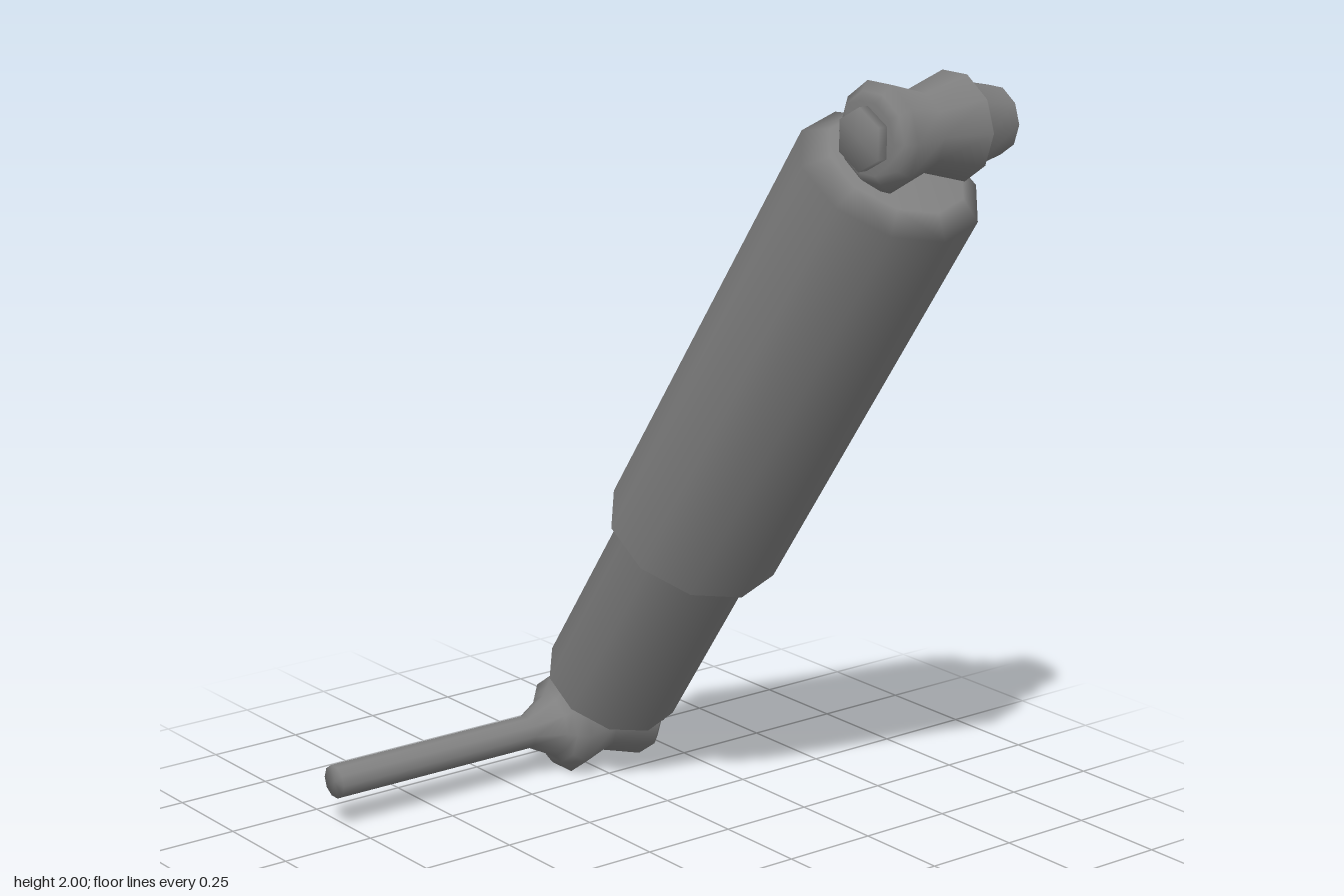
import * as THREE from 'three';

const MID_Z = -0.285;
const LOWER = [-0.615, 0.127];
const UPPER = [0.61, 1.878];

const material = new THREE.MeshStandardMaterial({ color: 0x808080 });

// Smooth turned part from [radius, height] pairs, listed from bottom to top
function addTurned(group, name, profile, sides, matrix) {
  const points = profile.map(([r, h]) => new THREE.Vector2(r, h));
  const geometry = new THREE.LatheGeometry(points, sides).applyMatrix4(matrix);
  const mesh = new THREE.Mesh(geometry, material);
  mesh.name = name;
  group.add(mesh);
}

// Slanted frame of the damper body: y runs from the lower eye to the upper eye
function bodyMatrix() {
  const axis = new THREE.Vector3(UPPER[0] - LOWER[0], UPPER[1] - LOWER[1], 0).normalize();
  return new THREE.Matrix4()
    .makeBasis(new THREE.Vector3(0, 0, 0.98), axis, new THREE.Vector3(-0.849, 0.528, 0))
    .setPosition(LOWER[0], LOWER[1], MID_Z);
}

// Frame of an eye: the turning axis points to the front, z heights are absolute
function eyeMatrix([x, y], turn = Math.PI / 2) {
  return new THREE.Matrix4().makeTranslation(x, y, 0)
    .multiply(new THREE.Matrix4().makeScale(1, 0.96, 1))
    .multiply(new THREE.Matrix4().makeRotationX(Math.PI / 2))
    .multiply(new THREE.Matrix4().makeRotationY(turn));
}

export function createModel() {
  const group = new THREE.Group();
  group.name = 'shockAbsorber';

  // Narrow tube with a chamfered foot, flaring into the sleeve's lower rim
  addTurned(group, 'innerTube', [
    [0, 0.115], [0.13, 0.115], [0.181, 0.145], [0.181, 0.741], [0.229, 0.741],
  ], 10, bodyMatrix());

  // Wide sleeve with a chamfered top
  addTurned(group, 'outerTube', [
    [0.229, 0.741], [0.229, 1.996], [0.173, 2.036], [0, 2.036],
  ], 10, bodyMatrix());

  // Waisted rubber bush shared by both eyes
  const bush = [[0.135, -0.405], [0.1, -0.29], [0.135, -0.18]];

  // Upper eye: open socket at the back, stepped washer at the front
  addTurned(group, 'upperEye', [
    [0, -0.49], [0.07, -0.49], [0.079, -0.53], [0.085, -0.53], [0.108, -0.43],
    ...bush,
    [0.112, -0.158], [0.09, -0.145], [0, -0.145],
  ], 10, eyeMatrix(UPPER));

  // Lower eye: stepped washer at the back, long mounting pin at the front
  addTurned(group, 'lowerEyeAndPin', [
    [0, -0.443], [0.09, -0.443], [0.112, -0.43],
    ...bush,
    [0.105, -0.155], [0.085, -0.14], [0.045, -0.065], [0.045, 0.53], [0, 0.53],
  ], 10, eyeMatrix(LOWER));

  // Hexagonal nuts with softened edges
  for (const [name, eye, from, to] of [
    ['upperNut', UPPER, -0.16, -0.12],
    ['lowerNut', LOWER, -0.47, -0.43],
  ]) {
    addTurned(group, name, [[0, from], [0.077, from], [0.077, to], [0, to]], 6, eyeMatrix(eye, 0));
  }

  return group;
}
